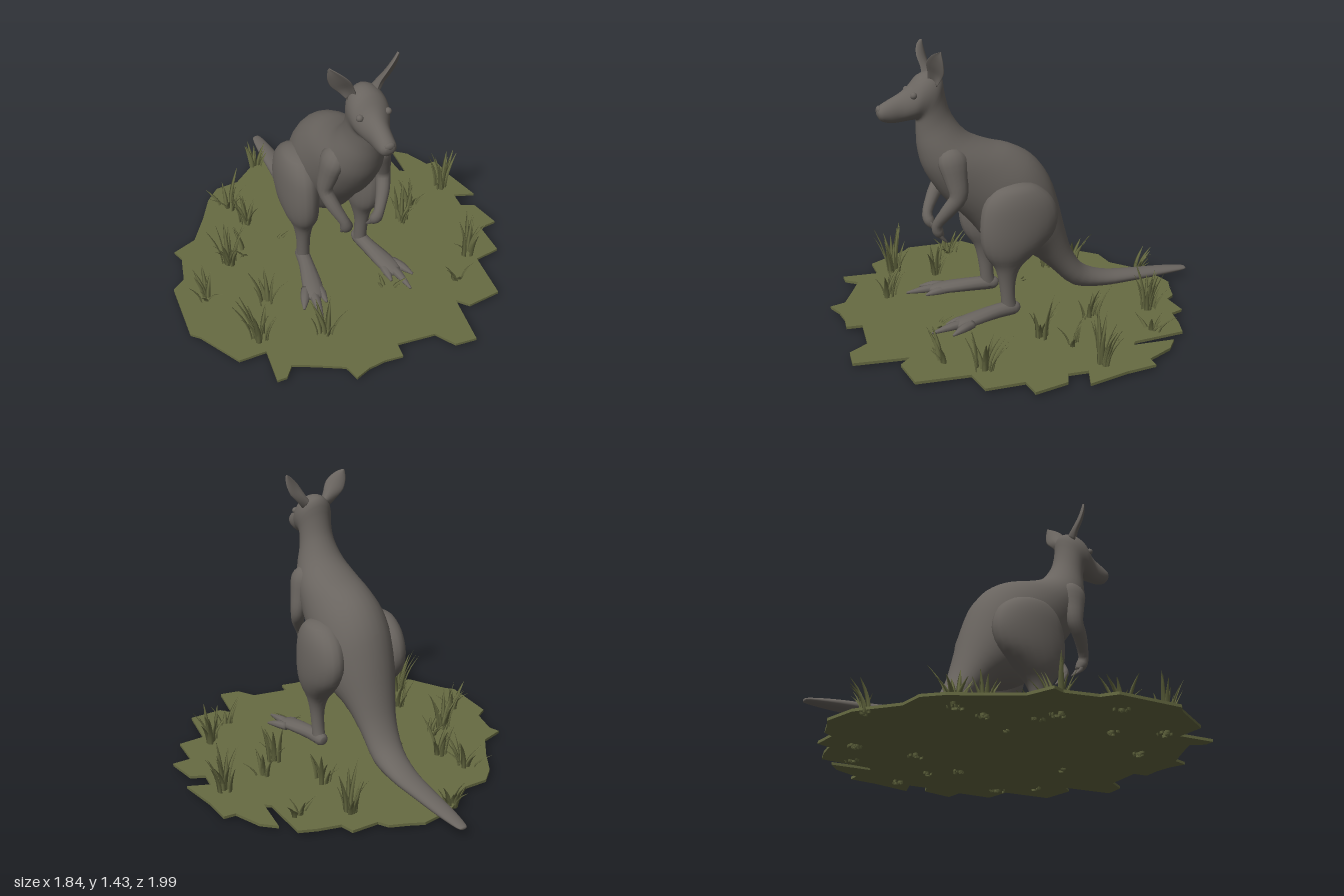
import * as THREE from 'three';
import { mergeGeometries } from 'three/addons/utils/BufferGeometryUtils.js';

const fur = new THREE.MeshStandardMaterial({ color: 0x69645f });
fur.name = 'grey fur';
const green = new THREE.MeshStandardMaterial({ color: 0x676b42 });
green.name = 'grass green';

const V = (x, y, z) => new THREE.Vector3(x, y, z);

// Smoothly adds rows between the given rows of numbers
function refine(rows, steps) {
  const out = [];
  for (let i = 0; i < rows.length - 1; i++) {
    const a = rows[Math.max(i - 1, 0)], b = rows[i], c = rows[i + 1], d = rows[Math.min(i + 2, rows.length - 1)];
    for (let k = 0; k < steps; k++) {
      const t = k / steps;
      out.push(b.map((p, j) => p + 0.5 * t * (c[j] - a[j]
        + t * (2 * a[j] - 5 * p + 4 * c[j] - d[j] + t * (3 * (p - c[j]) + d[j] - a[j])))));
    }
  }
  out.push(rows[rows.length - 1]);
  return out;
}

// Skins a closed surface over elliptical rings { c, u, v }, optionally cupped
function loft(rings, sides, cup = 0) {
  const pos = [], index = [];
  for (const { c, u, v } of rings) {
    for (let j = 0; j < sides; j++) {
      const a = (j / sides) * Math.PI * 2, ca = Math.cos(a);
      const p = c.clone().addScaledVector(u, ca).addScaledVector(v, Math.sin(a) + cup * ca * ca);
      pos.push(p.x, p.y, p.z);
    }
  }
  const last = rings.length - 1;
  for (let i = 0; i < last; i++) {
    for (let j = 0; j < sides; j++) {
      const k = (j + 1) % sides, a = i * sides + j, b = i * sides + k;
      index.push(a, b, b + sides, a, b + sides, a + sides);
    }
  }
  const start = pos.length / 3;
  for (const r of [rings[0], rings[last]]) pos.push(r.c.x, r.c.y, r.c.z);
  for (let j = 0; j < sides; j++) {
    const k = (j + 1) % sides;
    index.push(start, k, j, start + 1, last * sides + j, last * sides + k);
  }
  const g = new THREE.BufferGeometry();
  g.setAttribute('position', new THREE.Float32BufferAttribute(pos, 3));
  g.setIndex(index);
  g.computeVertexNormals();
  return g;
}

// Rows: back y, back z, front y, front z, half width, x
function spineLoft(rows, sides, steps) {
  return loft(refine(rows, steps).map(([yb, zb, yf, zf, w, x]) => ({
    c: V(x, (yb + yf) / 2, (zb + zf) / 2),
    u: V(w, 0, 0),
    v: V(0, (yf - yb) / 2, (zf - zb) / 2),
  })), sides);
}

// Rows: x, y, z, half width, half thickness; the hint sets the width direction
function limb(rows, sides, steps, hint = V(1, 0, 0), cup = 0) {
  const r = refine(rows, steps), pts = r.map((p) => V(p[0], p[1], p[2]));
  return loft(r.map((p, i) => {
    const t = pts[Math.min(i + 1, pts.length - 1)].clone().sub(pts[Math.max(i - 1, 0)]).normalize();
    const u = hint.clone().addScaledVector(t, -hint.dot(t)).normalize();
    const v = t.clone().cross(u);
    return { c: pts[i], u: u.multiplyScalar(p[3]), v: v.multiplyScalar(p[4]) };
  }), sides, cup);
}

function add(parent, name, geometry, material) {
  const m = new THREE.Mesh(geometry, material);
  m.name = name;
  parent.add(m);
  return m;
}

function buildAnimal() {
  const g = new THREE.Group();
  g.name = 'animal';
  g.position.x = -0.035;

  // Head, neck, trunk and tail in one skin
  const spine = [
    [1.14, 0.732, 1.11, 0.732, 0.018], [1.155, 0.715, 1.08, 0.715, 0.038], [1.175, 0.68, 1.065, 0.67, 0.046],
    [1.205, 0.62, 1.065, 0.625, 0.054], [1.24, 0.57, 1.07, 0.585, 0.074], [1.29, 0.52, 1.072, 0.56, 0.092],
    [1.305, 0.46, 1.07, 0.545, 0.096], [1.28, 0.41, 1.06, 0.54, 0.093], [1.19, 0.395, 1.04, 0.54, 0.088],
    [1.09, 0.365, 0.99, 0.54, 0.095], [0.99, 0.29, 0.91, 0.535, 0.125], [0.93, 0.17, 0.80, 0.505, 0.158],
    [0.895, 0.05, 0.65, 0.41, 0.178], [0.83, -0.06, 0.51, 0.28, 0.195], [0.72, -0.145, 0.38, 0.18, 0.195],
    [0.57, -0.20, 0.32, 0.08, 0.172], [0.42, -0.24, 0.28, -0.05, 0.132], [0.28, -0.285, 0.18, -0.17, 0.1],
    [0.17, -0.36, 0.06, -0.30, 0.086], [0.11, -0.49, 0.028, -0.47, 0.07], [0.09, -0.65, 0.025, -0.65, 0.056],
    [0.075, -0.85, 0.028, -0.85, 0.043], [0.058, -0.98, 0.035, -0.98, 0.026], [0.05, -1.0, 0.042, -1.0, 0.008],
  ].map((r) => [...r, 0]);
  add(g, 'bodyHeadAndTail', spineLoft(spine, 28, 3), fur);

  for (const s of [1, -1]) {
    const side = s > 0 ? 'left' : 'right';
    const mirror = (rows) => rows.map(([x, ...rest]) => [x * s, ...rest]);

    // Thigh and shin: x, y, z, half width, half depth
    const leg = [
      [0.165, 0.742, 0.085, 0.02, 0.03], [0.17, 0.72, 0.085, 0.068, 0.11], [0.175, 0.65, 0.075, 0.092, 0.18],
      [0.178, 0.55, 0.07, 0.098, 0.207], [0.178, 0.45, 0.085, 0.094, 0.19], [0.175, 0.37, 0.115, 0.08, 0.135],
      [0.17, 0.30, 0.13, 0.055, 0.072], [0.17, 0.22, 0.135, 0.038, 0.045], [0.168, 0.12, 0.13, 0.034, 0.037],
      [0.168, 0.05, 0.12, 0.035, 0.044],
    ];
    add(g, side + 'HindLeg', spineLoft(leg.map(([x, y, z, w, d]) => [y, z - d, y, z + d, w, x * s]), 20, 3), fur);

    // Long foot with three toes
    add(g, side + 'Foot', limb(mirror([
      [0.163, 0.06, 0.07, 0.02, 0.02], [0.166, 0.062, 0.1, 0.036, 0.036], [0.18, 0.062, 0.2, 0.04, 0.036],
      [0.21, 0.055, 0.34, 0.052, 0.03], [0.225, 0.048, 0.41, 0.045, 0.024], [0.23, 0.045, 0.44, 0.02, 0.015],
    ]), 12, 3), fur);
    for (const [x0, x1, z1] of [[0.222, 0.25, 0.56], [0.25, 0.31, 0.47], [0.19, 0.185, 0.47]]) {
      add(g, side + 'Toe', limb(mirror([
        [x0, 0.05, 0.35, 0.024, 0.022], [(x0 + x1) / 2, 0.048, (0.35 + z1) / 2, 0.024, 0.02],
        [x1, 0.036, z1, 0.006, 0.006],
      ]), 8, 3), fur);
    }

    // Foreleg, bent at the elbow, and its paw
    add(g, side + 'Arm', limb(mirror([
      [0.095, 0.93, 0.40, 0.03, 0.04], [0.118, 0.88, 0.395, 0.055, 0.075], [0.14, 0.79, 0.385, 0.046, 0.06],
      [0.155, 0.7, 0.38, 0.037, 0.045], [0.135, 0.63, 0.425, 0.034, 0.036], [0.095, 0.55, 0.472, 0.026, 0.026],
      [0.08, 0.505, 0.468, 0.033, 0.028], [0.072, 0.475, 0.45, 0.022, 0.018],
    ]), 14, 3), fur);
    for (const k of [-1, 0, 1]) {
      add(g, side + 'Finger', limb(mirror([
        [0.076 + k * 0.018, 0.505, 0.468, 0.011, 0.013], [0.073 + k * 0.02, 0.472, 0.452, 0.01, 0.011],
        [0.07 + k * 0.02, 0.445, 0.425, 0.004, 0.004],
      ]), 6, 2), fur);
    }

    // Cupped ear
    add(g, side + 'Ear', limb(mirror([
      [0.05, 1.265, 0.45, 0.028, 0.018], [0.08, 1.305, 0.452, 0.04, 0.012], [0.115, 1.35, 0.46, 0.052, 0.009],
      [0.148, 1.395, 0.46, 0.034, 0.007], [0.168, 1.425, 0.455, 0.005, 0.004],
    ]), 14, 3, V(-0.6 * s, 0.4, 0.6), 1.6 * s), fur);

    // Eye under a soft brow
    const eye = add(g, side + 'Eye', new THREE.SphereGeometry(0.017, 12, 8), fur);
    eye.position.set(0.07 * s, 1.205, 0.565);
  }

  // Nose pad
  const nose = add(g, 'nose', new THREE.SphereGeometry(0.024, 12, 8), fur);
  nose.scale.set(1.1, 0.8, 0.6);
  nose.position.set(0, 1.135, 0.72);
  return g;
}

// Ragged ground outline: x, z pairs in hundredths
const outline = [
  -10, -80, 7, -84, 14, -81, 23, -78, 26, -73, 40, -74, 42, -67, 53, -65, 62, -62, 63, -35, 66, -33, 68, -54,
  75, -48, 81, -34, 87, -34, 88, -19, 92, 2, 81, -2, 80, 8, 87, 11, 90, 28, 80, 29, 79, 48, 65, 50, 62, 76,
  44, 78, 39, 72, 35, 99, 24, 98, 18, 88, -2, 86, -3, 94, -12, 93, -21, 94, -29, 97, -31, 89, -44, 82, -54, 77,
  -59, 83, -64, 83, -62, 64, -76, 64, -88, 42, -92, 38, -90, 5, -83, 0, -79, -16, -81, -22, -68, -27, -58, -42,
  -50, -56, -42, -64, -29, -65, -18, -74,
];

// Tufts: x, z, blade height, blade count
const tufts = [
  [-0.15, -0.74, 0.17, 9], [0.33, -0.57, 0.26, 14], [0.55, -0.48, 0.13, 6], [-0.42, -0.46, 0.2, 9],
  [-0.37, -0.28, 0.2, 9], [0.31, -0.25, 0.22, 8], [-0.57, -0.02, 0.28, 13], [-0.46, -0.05, 0.12, 4],
  [0.77, -0.1, 0.28, 13], [0.54, -0.05, 0.16, 6], [0.42, 0.07, 0.24, 8], [-0.76, 0.18, 0.17, 9],
  [0.63, 0.43, 0.22, 11], [-0.62, 0.55, 0.28, 15], [-0.49, 0.34, 0.2, 6], [-0.31, 0.66, 0.2, 9],
  [0.49, 0.58, 0.16, 6], [0.1, 0.5, 0.07, 4], [-0.27, -0.09, 0.08, 2],
];

function buildGround() {
  const g = new THREE.Group();
  g.name = 'ground';
  const shape = new THREE.Shape();
  for (let i = 0; i < outline.length; i += 2) {
    shape[i ? 'lineTo' : 'moveTo'](outline[i] / 100, -outline[i + 1] / 100);
  }
  const patch = new THREE.ExtrudeGeometry(shape, { depth: 0.014, bevelEnabled: false }).rotateX(-Math.PI / 2);
  add(g, 'groundPatch', patch, green).position.y = 0.011;

  let seed = 7;
  const rnd = () => (seed = (seed * 16807) % 2147483647) / 2147483647;

  // Curved, tapering blades that splay out from each tuft
  tufts.forEach(([x, z, height, count]) => {
    const blades = [];
    for (let i = 0; i < count; i++) {
      const a = rnd() * Math.PI * 2, r = 0.045 * rnd(), h = height * (0.5 + 0.55 * rnd()), lean = 0.03 + 0.07 * rnd();
      const dx = Math.cos(a), dz = Math.sin(a);
      const at = (t, w) => [x + dx * (r + lean * t * t), h * t, z + dz * (r + lean * t * t), w, w * 0.35];
      blades.push(limb([at(0, 0.012), at(0.35, 0.013), at(0.7, 0.009), at(1, 0.001)], 4, 2, V(-dz, 0, dx)));
    }
    add(g, 'grassTuft', mergeGeometries(blades), green);
  });
  return g;
}

export function createModel() {
  const model = new THREE.Group();
  model.name = 'animalOnGrass';
  model.add(buildAnimal(), buildGround());
  return model;
}
